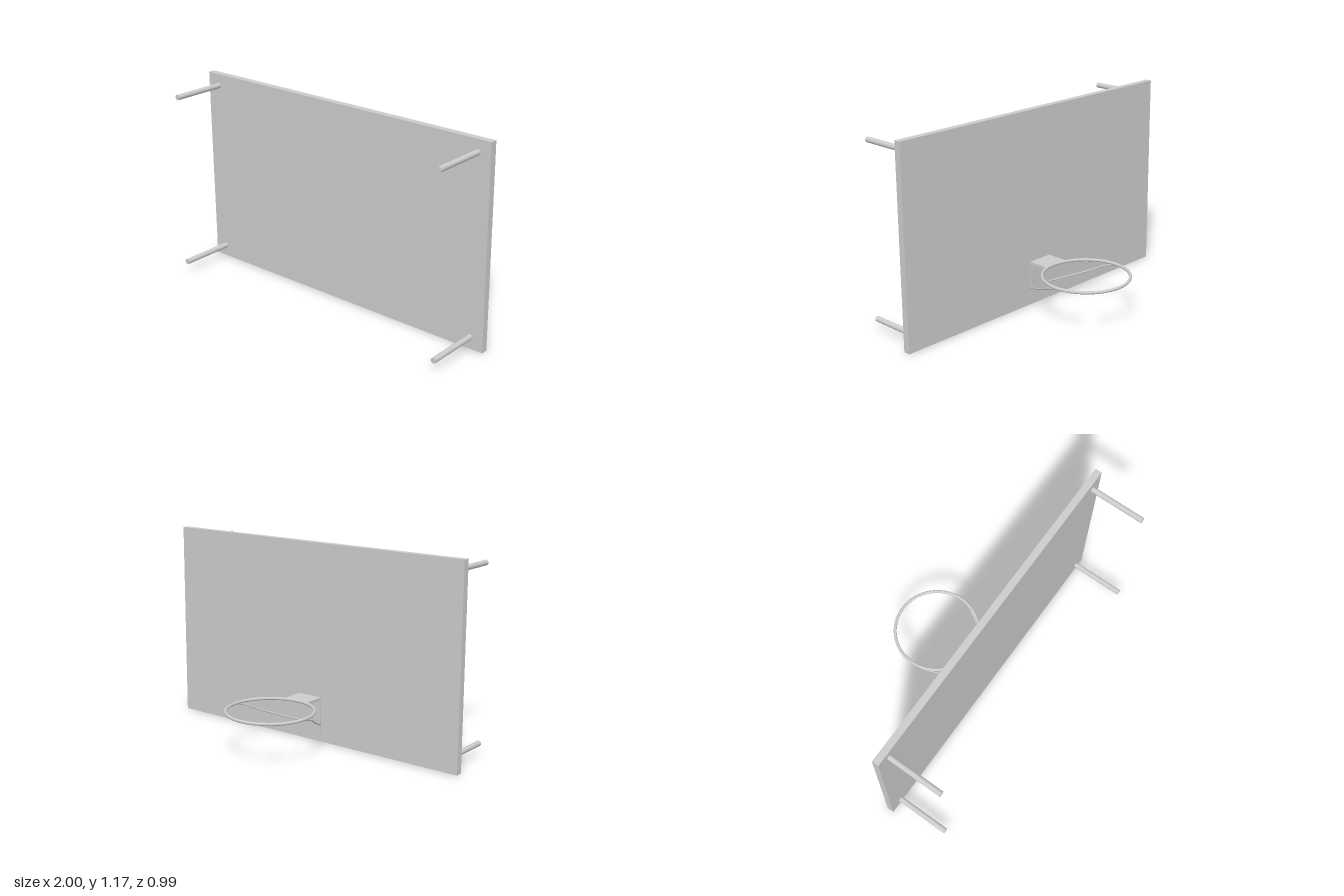
import * as THREE from 'three';

export function createModel() {
  const root = new THREE.Group();
  const mat = new THREE.MeshStandardMaterial({ color: 0xcccccc });
  const add = (name, geo, x = 0, y = 0, z = 0) => {
    const m = new THREE.Mesh(geo, mat);
    m.name = name;
    m.position.set(x, y, z);
    root.add(m);
    return m;
  };

  const rimR = 0.25, rimY = 0.259, rimZ = -0.236, plateX = 0.08, boardZ = 0.13;

  // Backboard panel
  add('backboard', new THREE.BoxGeometry(2, 1.17, 0.04), 0, 0.585, 0.15);

  // Four mounting posts at the corners
  const post = new THREE.CylinderGeometry(0.016, 0.016, 0.335, 24).rotateX(Math.PI / 2);
  for (const x of [-0.92, 0.92]) {
    for (const y of [0.07, 1.1]) add('mountingPost', post, x, y, 0.3275);
  }

  // Hoop ring
  add('rim', new THREE.TorusGeometry(rimR, 0.009, 16, 72).rotateX(Math.PI / 2), 0, rimY, rimZ);

  // Horizontal bracket plate, its free edge following the ring
  const a = Math.asin(plateX / rimR);
  const shape = new THREE.Shape();
  shape.moveTo(-plateX, boardZ);
  shape.lineTo(-plateX, rimZ + rimR * Math.cos(a));
  shape.absarc(0, rimZ, rimR, Math.PI / 2 + a, Math.PI / 2 - a, true);
  shape.lineTo(plateX, boardZ);
  shape.closePath();
  const plate = new THREE.ExtrudeGeometry(shape, { depth: 0.016, bevelEnabled: false, curveSegments: 16 });
  add('bracketPlate', plate.rotateX(Math.PI / 2), 0, 0.268, 0);

  // Vertical plate fixed to the board
  add('bracketBackPlate', new THREE.BoxGeometry(2 * plateX, 0.232, 0.005), 0, 0.152, 0.1275);

  // Diagonal braces, rising from the back plate and curving under the ring
  const onRim = (z, y, s) => new THREE.Vector3(s * Math.sqrt(rimR ** 2 - (z - rimZ) ** 2), y, z);
  for (const s of [-1, 1]) {
    const path = new THREE.CurvePath();
    const pts = [
      new THREE.Vector3(s * 0.076, 0.102, 0.128),
      onRim(-0.08, 0.19, s),
      onRim(-0.16, 0.232, s),
      onRim(-0.225, 0.252, s),
    ];
    for (let i = 1; i < pts.length; i++) path.add(new THREE.LineCurve3(pts[i - 1], pts[i]));
    add(s > 0 ? 'leftBrace' : 'rightBrace', new THREE.TubeGeometry(path, 40, 0.005, 10, false));
    // End cap hidden against the ring
    add('braceEnd', new THREE.SphereGeometry(0.005, 10, 8), pts[3].x, pts[3].y, pts[3].z);
  }

  return root;
}
